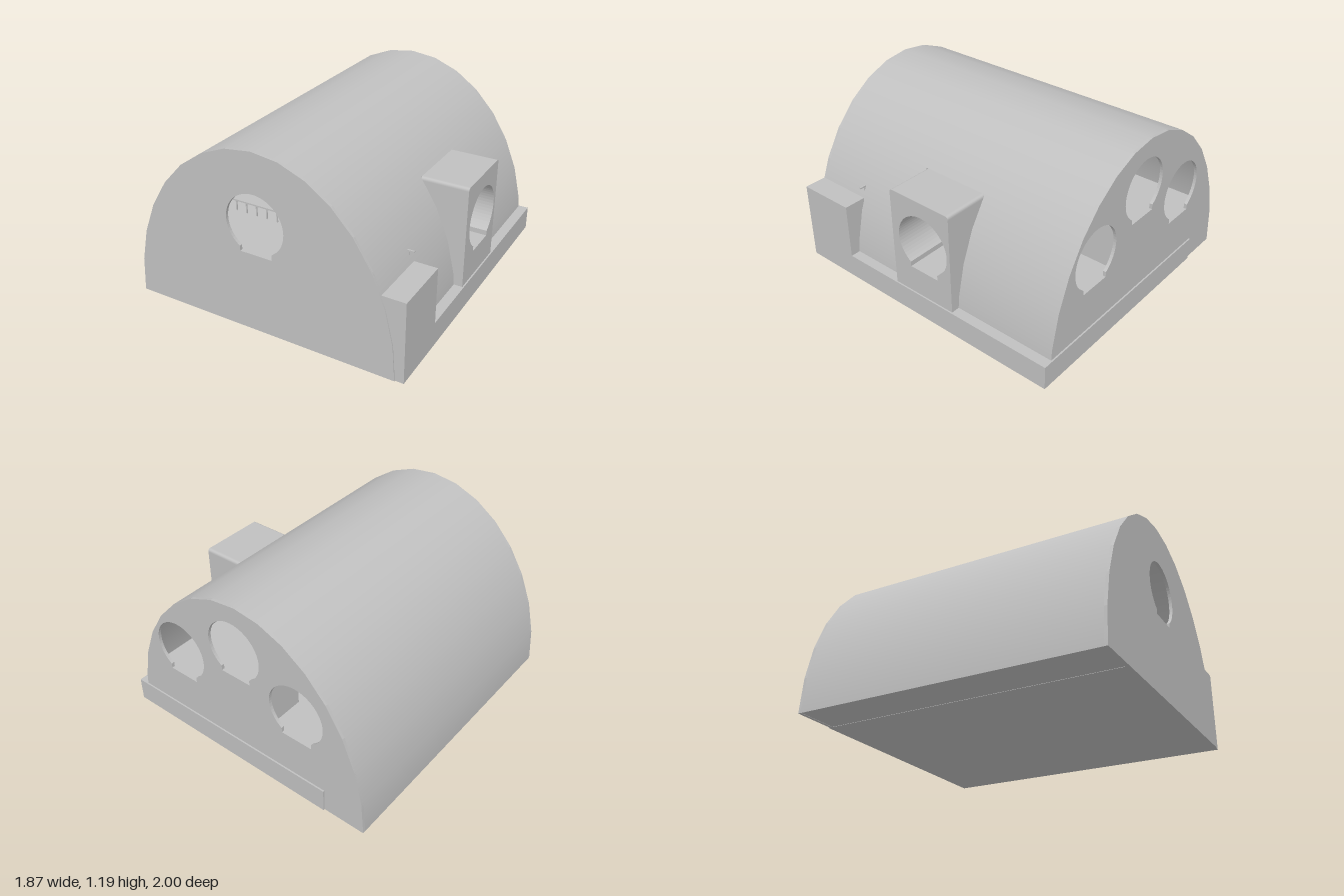
import * as THREE from 'three';

const CX = -0.03, RX = 0.905, RY = 1.19, SEGS = 16;
const DOOR_R = 0.197, NOTCH_X = 0.11, NOTCH_Y = -0.197;

// Round doorway with a flat threshold cut into its lower edge
function doorway(x, y) {
  const path = new THREE.Path();
  const a = Math.acos(NOTCH_X / DOOR_R);
  path.moveTo(x - NOTCH_X, y + NOTCH_Y);
  path.lineTo(x + NOTCH_X, y + NOTCH_Y);
  path.absarc(x, y, DOOR_R, -a, Math.PI + a, false);
  path.closePath();
  return path;
}

// Half-ellipse end wall with doorways
function endWall(holes) {
  const shape = new THREE.Shape();
  for (let i = 0; i <= SEGS; i++) {
    const t = (i / SEGS) * Math.PI;
    const x = CX + RX * Math.cos(t), y = RY * Math.sin(t);
    if (i) shape.lineTo(x, y); else shape.moveTo(x, y);
  }
  shape.holes = holes.map(([x, y]) => doorway(x, y));
  return new THREE.ExtrudeGeometry(shape, { depth: 0.02, bevelEnabled: false, curveSegments: 24 });
}

// Smooth vault section from z0 to z1, from the left springing over `segs` facets
function vault(z0, z1, segs) {
  const g = new THREE.CylinderGeometry(1, 1, z1 - z0, segs, 1, true, -Math.PI / 2, (segs / SEGS) * Math.PI);
  g.rotateX(-Math.PI / 2);
  g.scale(RX, RY, 1);
  g.translate(CX, 0, (z0 + z1) / 2);
  return g;
}

export function createModel() {
  const group = new THREE.Group();
  const grey = new THREE.MeshStandardMaterial({ color: 0xc0c0c0 });
  grey.name = 'plainGrey';
  const greySheet = new THREE.MeshStandardMaterial({ color: 0xc0c0c0, side: THREE.DoubleSide });
  greySheet.name = 'plainGreySheet';

  const add = (name, geometry, material = grey) => {
    const mesh = new THREE.Mesh(geometry, material);
    mesh.name = name;
    group.add(mesh);
    return mesh;
  };
  const box = (name, x0, x1, y0, y1, z0, z1) => {
    const g = new THREE.BoxGeometry(x1 - x0, y1 - y0, z1 - z0);
    g.translate((x0 + x1) / 2, (y0 + y1) / 2, (z0 + z1) / 2);
    return add(name, g);
  };

  // Vault, left open on the side where the porch enters
  add('vaultBack', vault(-0.99, -0.29, SEGS), greySheet);
  add('vaultMiddle', vault(-0.29, 0.18, 12), greySheet);
  add('vaultFront', vault(0.18, 1, SEGS), greySheet);

  // End walls
  add('frontWall', endWall([[CX, 0.73]])).position.z = 0.98;
  add('backWall', endWall([[0.005, 0.87], [0.47, 0.64], [-0.45, 0.64]])).position.z = -0.99;

  // Base, underside and corner block
  box('underside', -0.93, 0.87, 0.002, 0.01, -0.985, 0.995);
  box('base', -0.65, 0.93, 0, 0.16, -1, 0.99);
  box('cornerBlock', 0.78, 0.93, 0, 0.535, 0.6, 0.993);

  // Side porch with rounded top edges and a round doorway
  const porch = new THREE.Shape();
  porch.moveTo(-0.18, 0.1);
  porch.lineTo(0.29, 0.1);
  porch.lineTo(0.29, 0.82);
  porch.quadraticCurveTo(0.29, 0.842, 0.268, 0.842);
  porch.lineTo(-0.158, 0.842);
  porch.quadraticCurveTo(-0.18, 0.842, -0.18, 0.82);
  porch.closePath();
  porch.holes.push(doorway(0.07, 0.542));
  const porchGeo = new THREE.ExtrudeGeometry(porch, { depth: 0.31, bevelEnabled: false, curveSegments: 24 });
  porchGeo.rotateY(Math.PI / 2);
  porchGeo.translate(0.61, 0, 0);
  add('sidePorch', porchGeo);

  // Interior floor and raised landings behind the doorways
  box('floor', -0.86, 0.8, 0.01, 0.343, -0.97, 0.98);
  box('frontLanding', -0.82, 0.76, 0.343, 0.532, 0.6, 0.98);
  box('backLanding', -0.2, 0.2, 0.343, 0.672, -0.97, -0.68);
  for (const x of [0.47, -0.45]) box('sideLanding', x - 0.2, x + 0.2, 0.343, 0.442, -0.97, -0.68);

  // Railing on the front landing, open in the middle
  for (const [x0, x1] of [[-0.76, -0.108], [0.108, 0.79]]) {
    box('handrail', x0, x1, 0.6, 0.61, 0.61, 0.62);
    for (let i = 0; i <= 8; i++) {
      const x = x0 + ((x1 - x0 - 0.04) * i) / 8;
      box('railPost', x, x + 0.008, 0.532, 0.6, 0.611, 0.619);
    }
  }

  // Ladder up to the back landing
  for (const x of [-0.015, 0.055]) box('ladderSide', x, x + 0.008, 0.343, 0.672, -0.68, -0.66);
  for (let y = 0.37; y < 0.66; y += 0.035) box('ladderRung', -0.01, 0.058, y, y + 0.008, -0.676, -0.664);

  return group;
}
